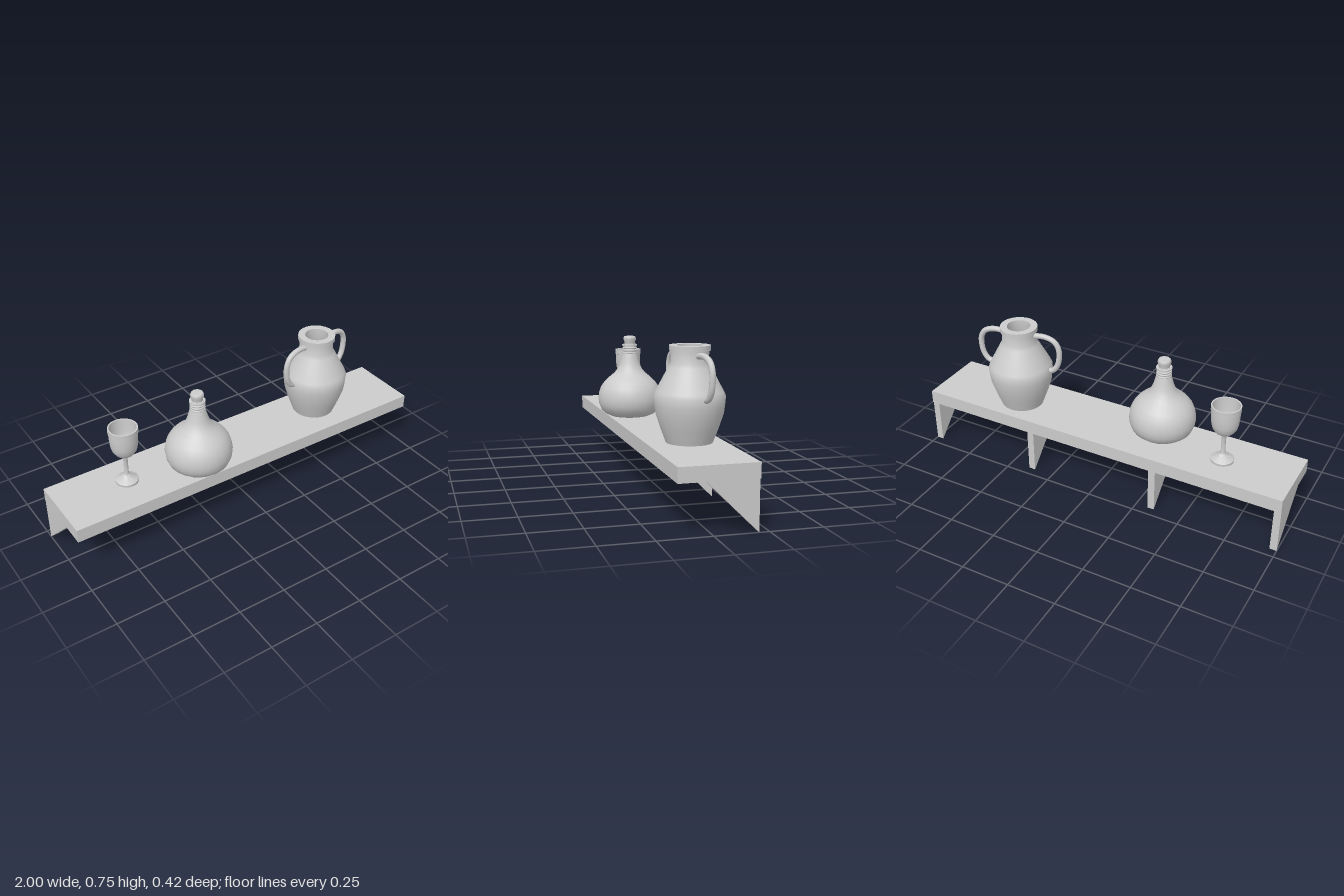
import * as THREE from 'three';
import { toCreasedNormals } from 'three/addons/utils/BufferGeometryUtils.js';

const material = new THREE.MeshStandardMaterial({ color: 0xcccccc });
const SHELF_TOP = 0.304;

function add(parent, name, geometry, x = 0, y = 0, z = 0) {
  const mesh = new THREE.Mesh(geometry, material);
  mesh.name = name;
  mesh.position.set(x, y, z);
  parent.add(mesh);
  return mesh;
}

// Turned part from [radius, height] pairs, listed from the bottom up the outside
function turned(profile, segments, crease = 0.6) {
  const points = profile.map(([r, y]) => new THREE.Vector2(r, y));
  return toCreasedNormals(new THREE.LatheGeometry(points, segments), crease);
}

function placed(parent, name, x, z) {
  const group = new THREE.Group();
  group.name = name;
  group.position.set(x, SHELF_TOP, z);
  parent.add(group);
  return group;
}

function buildShelf(parent) {
  add(parent, 'shelfBoard', new THREE.BoxGeometry(2, 0.07, 0.366), 0, 0.269, -0.024);

  // Triangular brackets, drawn in the z-y plane and extruded along x
  const side = new THREE.Shape([
    new THREE.Vector2(0.203, 0), new THREE.Vector2(0.203, 0.236),
    new THREE.Vector2(-0.029, 0.236), new THREE.Vector2(-0.029, 0.229),
  ]);
  const width = 0.036;
  const bracket = new THREE.ExtrudeGeometry(side, { depth: width, bevelEnabled: false });
  bracket.translate(0, 0, -width / 2).rotateY(Math.PI / 2);
  for (const x of [-0.982, -0.331, 0.374, 0.981]) add(parent, 'bracket', bracket, x);
}

function buildGoblet(parent) {
  const goblet = placed(parent, 'goblet', -0.632, -0.04);
  add(goblet, 'footAndStem', turned([
    [0, 0], [0.057, 0], [0.058, 0.012], [0.05, 0.019], [0.03, 0.026],
    [0.023, 0.034], [0.014, 0.042], [0.011, 0.055], [0.011, 0.14], [0.016, 0.152], [0.02, 0.158],
  ], 24));
  // Hollow bowl with a slightly raised rim band
  add(goblet, 'bowl', turned([
    [0, 0.152], [0.024, 0.156], [0.045, 0.17], [0.06, 0.192], [0.067, 0.22], [0.07, 0.26],
    [0.07, 0.288], [0.073, 0.29], [0.073, 0.318], [0.066, 0.318],
    [0.064, 0.25], [0.058, 0.21], [0.045, 0.185], [0.025, 0.168], [0, 0.163],
  ], 32));
}

function buildBottle(parent) {
  const bottle = placed(parent, 'bottle', -0.268, 0.041);
  add(bottle, 'bottleBody', turned([
    [0, 0], [0.103, 0], [0.13, 0.012], [0.152, 0.031], [0.165, 0.062], [0.169, 0.092],
    [0.165, 0.125], [0.154, 0.156], [0.135, 0.183], [0.11, 0.207], [0.083, 0.229],
    [0.064, 0.252], [0.053, 0.278], [0.045, 0.305], [0.039, 0.33], [0.034, 0.345],
    [0.034, 0.384], [0, 0.384],
  ], 24));
  // Rings round the neck
  for (const y of [0.336, 0.35, 0.363]) {
    const ring = new THREE.TorusGeometry(0.034, 0.005, 8, 24).rotateX(Math.PI / 2);
    add(bottle, 'neckRing', ring, 0, y);
  }
  add(bottle, 'lip', turned([[0.03, 0.371], [0.04, 0.373], [0.04, 0.381], [0.03, 0.383]], 24));
  add(bottle, 'stopper', turned([
    [0.028, 0.38], [0.029, 0.395], [0.033, 0.405], [0.033, 0.417], [0.029, 0.424], [0, 0.426],
  ], 16));
}

function buildJug(parent) {
  const jug = placed(parent, 'jug', 0.515, -0.045);
  jug.rotation.y = 0.165;
  // Body, collar and hollow inside in one profile
  add(jug, 'jugBody', turned([
    [0, 0], [0.11, 0], [0.135, 0.067], [0.158, 0.136], [0.163, 0.175], [0.167, 0.217],
    [0.158, 0.236], [0.128, 0.293], [0.098, 0.349], [0.088, 0.368], [0.088, 0.424],
    [0.096, 0.424], [0.096, 0.448], [0.06, 0.448], [0.06, 0.375], [0.14, 0.217],
    [0.13, 0.136], [0.085, 0.02], [0, 0.02],
  ], 24, 0.75));

  // Ear-shaped handles, one on each side
  const path = [
    [0.075, 0.401], [0.115, 0.408], [0.155, 0.405], [0.194, 0.387], [0.215, 0.35],
    [0.217, 0.3], [0.207, 0.255], [0.183, 0.222], [0.148, 0.211],
  ];
  for (const s of [1, -1]) {
    const curve = new THREE.CatmullRomCurve3(path.map(([x, y]) => new THREE.Vector3(s * x, y, 0)));
    add(jug, s > 0 ? 'leftHandle' : 'rightHandle', new THREE.TubeGeometry(curve, 32, 0.0145, 10));
  }
}

export function createModel() {
  const model = new THREE.Group();
  model.name = 'shelfWithVessels';
  buildShelf(model);
  buildGoblet(model);
  buildBottle(model);
  buildJug(model);
  return model;
}
